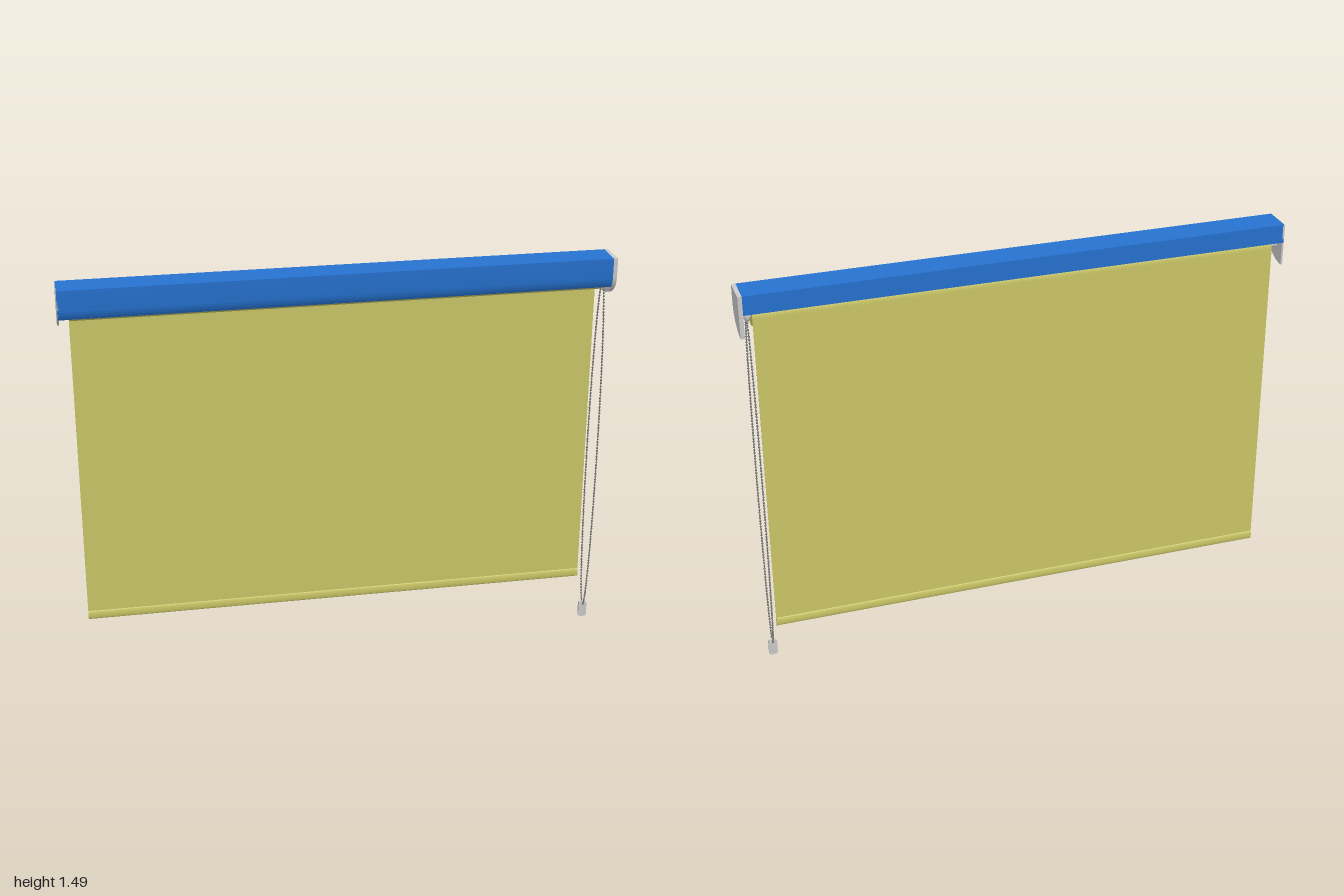
import * as THREE from 'three';
import { mergeGeometries, toCreasedNormals } from 'three/addons/utils/BufferGeometryUtils.js';

const grey = new THREE.MeshStandardMaterial({ color: 0xcccccc });
const darkGrey = new THREE.MeshStandardMaterial({ color: 0x777777 });
const blue = new THREE.MeshStandardMaterial({ color: 0x2672d0, side: THREE.DoubleSide });
const cloth = new THREE.MeshStandardMaterial({ color: 0xccc868, side: THREE.DoubleSide });

const TOP = 1.49, DEPTH = 0.057, BEND = 1.42;

// Point on the curved lower front, t = 0 at the front wall, PI/2 at the back
const frontCurve = (t, inset = 0) => new THREE.Vector2(
  -DEPTH + (2 * DEPTH - inset) * Math.cos(t),
  BEND - (0.085 - inset) * Math.sin(t));

const arc = (end, inset, n = 16) =>
  Array.from({ length: n + 1 }, (_, i) => frontCurve(end * i / n, inset));

// Extrude a (z, y) outline along x from x0 to x1
function extrudeX(points, x0, x1) {
  const geo = new THREE.ExtrudeGeometry(new THREE.Shape(points), { depth: x1 - x0, bevelEnabled: false });
  geo.rotateY(-Math.PI / 2).translate(x1, 0, 0);
  return toCreasedNormals(geo, 0.6);
}

export function createModel() {
  const model = new THREE.Group();
  const add = (name, geo, mat, x = 0, y = 0, z = 0) => {
    const mesh = new THREE.Mesh(geo, mat);
    mesh.name = name;
    mesh.position.set(x, y, z);
    model.add(mesh);
    return mesh;
  };
  const v = (z, y) => new THREE.Vector2(z, y);

  // Headbox: open underneath, with a curved front lip and a short back wall
  const wall = 0.004, lip = 0.49;
  add('headbox', extrudeX([
    v(-DEPTH, BEND), v(-DEPTH, TOP), v(DEPTH, TOP),
    ...arc(lip, 0),
    ...arc(lip, wall).reverse(),
    v(DEPTH - wall, TOP - wall), v(-DEPTH + wall, TOP - wall), v(-DEPTH + wall, BEND),
  ], -0.998, 0.985), blue);

  // End caps
  const capOutline = [v(-DEPTH, TOP), v(DEPTH, TOP), ...arc(Math.PI / 2, 0, 24)];
  add('leftEndCap', extrudeX(capOutline, 0.985, 1), grey);
  add('rightEndCap', extrudeX(capOutline, -1, -0.993), grey);

  // Fabric roll on its axle
  const rollY = 1.4, rollZ = -0.006, rollR = 0.04;
  const rod = (r, len) => new THREE.CylinderGeometry(r, r, len, 32).rotateZ(Math.PI / 2);
  add('fabricRoll', rod(rollR, 1.912), cloth, -0.002, rollY, rollZ);
  add('axle', rod(0.014, 1.98), grey, -0.004, rollY, rollZ);
  add('chainWheel', rod(0.024, 0.012), grey, 0.967, rollY, rollZ);

  // Hanging fabric and its hem bar
  const clothZ = rollZ - rollR;
  add('fabric', new THREE.BoxGeometry(1.912, rollY - 0.17, 0.002), cloth, -0.002, (rollY + 0.17) / 2, clothZ);
  const hem = rod(1, 1.912).scale(1, 0.017, 0.005);
  add('hemBar', hem, cloth, -0.002, 0.172, clothZ);

  // Bead chain: a tall narrow loop of beads on a thin cord
  const loop = Array.from({ length: 96 }, (_, i) => {
    const a = i / 96 * Math.PI * 2;
    return new THREE.Vector3(0.967, 0.72 + 0.67 * Math.cos(a), 0.058 * Math.sin(a));
  });
  const path = new THREE.CatmullRomCurve3(loop, true);
  path.arcLengthDivisions = 800;
  add('chainCord', new THREE.TubeGeometry(path, 200, 0.0014, 5, true), darkGrey);
  const bead = new THREE.SphereGeometry(0.004, 8, 6);
  const beads = path.getSpacedPoints(230).slice(0, -1)
    .map(p => bead.clone().translate(p.x, p.y, p.z));
  add('chainBeads', mergeGeometries(beads), darkGrey);

  // Chain weight: a flat tag with rounded ends
  const tag = new THREE.Shape();
  const w = 0.016, h = 0.064, r = 0.01;
  tag.moveTo(-w + r, 0).lineTo(w - r, 0).quadraticCurveTo(w, 0, w, r)
    .lineTo(w, h - r).quadraticCurveTo(w, h, w - r, h)
    .lineTo(-w + r, h).quadraticCurveTo(-w, h, -w, h - r)
    .lineTo(-w, r).quadraticCurveTo(-w, 0, -w + r, 0);
  const tagGeo = new THREE.ExtrudeGeometry(tag, { depth: 0.01, bevelEnabled: false });
  add('chainWeight', toCreasedNormals(tagGeo, 0.6), grey, 0.967, 0, -0.005);

  return model;
}
